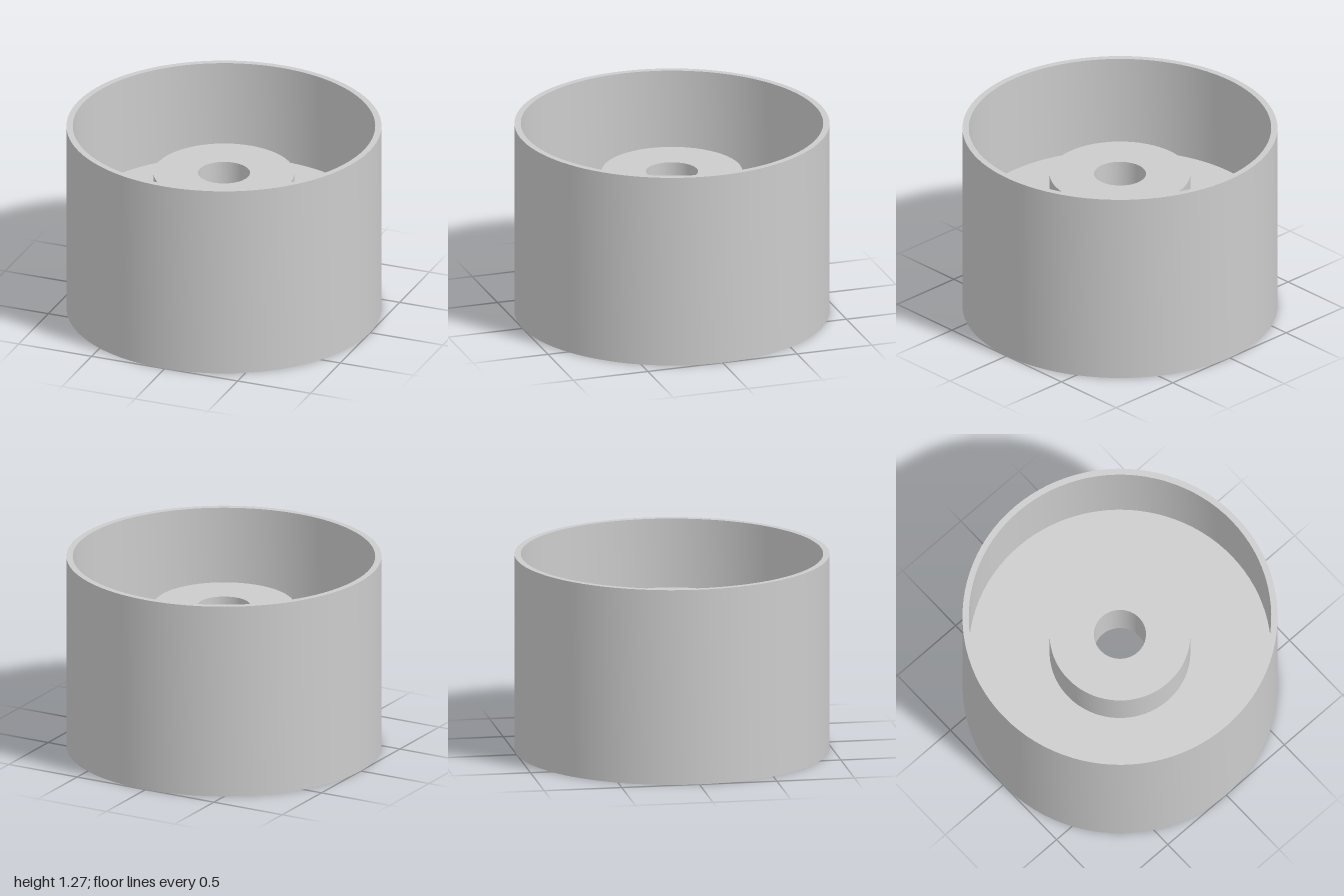
import * as THREE from 'three';
import { toCreasedNormals } from 'three/addons/utils/BufferGeometryUtils.js';

const SEGMENTS = 96;

// Main radii
const OUTER = 1, INNER = 0.96, BOSS = 0.447, RECESS = 0.325, BORE = 0.165;
// Main heights
const HEIGHT = 1.27, WEB_BOTTOM = 0.533, WEB_TOP = 0.62, RECESS_TOP = 0.608, BOSS_TOP = 0.944;

export function createModel() {
  const group = new THREE.Group();
  group.name = 'flangedDrum';
  const material = new THREE.MeshStandardMaterial({ color: 0xcccccc });

  // Revolves a [radius, height] profile with sharp corners and smooth walls
  function addTurned(name, profile) {
    const points = profile.map(([r, y]) => new THREE.Vector2(r, y));
    const geometry = toCreasedNormals(new THREE.LatheGeometry(points, SEGMENTS), 0.5);
    const mesh = new THREE.Mesh(geometry, material);
    mesh.name = name;
    group.add(mesh);
  }

  // Outer drum wall, open above and below the web
  addTurned('drumWall', [
    [INNER, WEB_BOTTOM], [INNER, 0], [OUTER, 0],
    [OUTER, HEIGHT], [INNER, HEIGHT], [INNER, WEB_TOP],
  ]);

  // Disc joining the wall to the hub
  addTurned('webTop', [[INNER, WEB_TOP], [BOSS, WEB_TOP]]);
  addTurned('webUnderside', [[RECESS, WEB_BOTTOM], [INNER, WEB_BOTTOM]]);

  // Raised hub with a through bore and a shallow recess underneath
  addTurned('hub', [
    [BOSS, WEB_TOP], [BOSS, BOSS_TOP], [BORE, BOSS_TOP],
    [BORE, RECESS_TOP], [RECESS, RECESS_TOP], [RECESS, WEB_BOTTOM],
  ]);

  return group;
}
